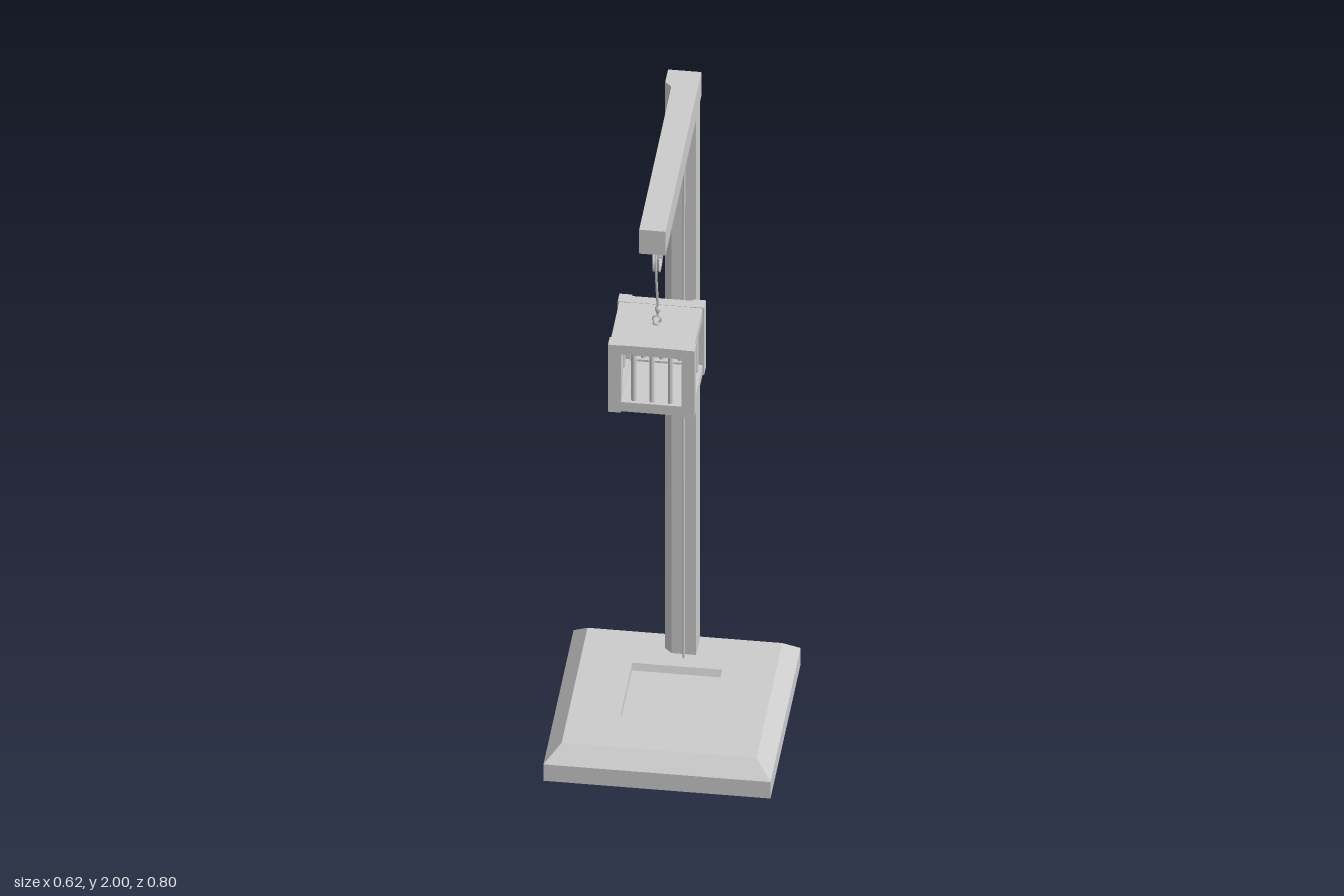
import * as THREE from 'three';

const material = new THREE.MeshStandardMaterial({ color: 0xcccccc, flatShading: true });
const smooth = new THREE.MeshStandardMaterial({ color: 0xcccccc });

function add(parent, name, geometry, x = 0, y = 0, z = 0, mat = material) {
  const mesh = new THREE.Mesh(geometry, mat);
  mesh.name = name;
  mesh.position.set(x, y, z);
  parent.add(mesh);
  return mesh;
}

// Box given by its limits on each axis
function block(parent, name, x0, x1, y0, y1, z0, z1) {
  return add(parent, name, new THREE.BoxGeometry(x1 - x0, y1 - y0, z1 - z0),
    (x0 + x1) / 2, (y0 + y1) / 2, (z0 + z1) / 2);
}

// Skin over rectangular rings [x0, x1, z0, z1, y], capped at both ends
function loftRects(rings) {
  const corners = rings.map(([x0, x1, z0, z1, y]) =>
    [[x0, y, z1], [x1, y, z1], [x1, y, z0], [x0, y, z0]]);
  const pos = [];
  const quad = (a, b, c, d) => pos.push(...a, ...b, ...c, ...a, ...c, ...d);
  for (let r = 0; r < corners.length - 1; r++) {
    for (let i = 0; i < 4; i++) {
      const j = (i + 1) % 4;
      quad(corners[r][i], corners[r][j], corners[r + 1][j], corners[r + 1][i]);
    }
  }
  quad(...corners[0].slice().reverse());
  quad(...corners[corners.length - 1]);
  const geometry = new THREE.BufferGeometry();
  geometry.setAttribute('position', new THREE.Float32BufferAttribute(pos, 3));
  geometry.computeVertexNormals();
  return geometry;
}

// Spoked pulley wheel with its hanger
function pulley(z) {
  const group = new THREE.Group();
  group.name = 'pulley';
  group.position.set(0.01, 1.838, z);
  const rimProfile = [[0.037, -0.009], [0.049, -0.009], [0.044, 0], [0.049, 0.009], [0.037, 0.009], [0.037, -0.009]]
    .map(([r, h]) => new THREE.Vector2(r, h));
  add(group, 'pulleyRim', new THREE.LatheGeometry(rimProfile, 20).rotateZ(Math.PI / 2));
  add(group, 'pulleyHub', new THREE.CylinderGeometry(0.011, 0.011, 0.024, 10).rotateZ(Math.PI / 2));
  for (let i = 0; i < 3; i++) {
    add(group, 'pulleySpoke', new THREE.BoxGeometry(0.01, 0.04, 0.009)
      .translate(0, 0.02, 0).rotateX(i * Math.PI * 2 / 3));
  }
  for (const side of [-1, 1]) {
    add(group, 'pulleyHanger', new THREE.BoxGeometry(0.003, 0.068, 0.009), side * 0.0115, 0.029, 0);
  }
  add(group, 'pulleyMount', new THREE.BoxGeometry(0.026, 0.024, 0.011), 0, 0.073, 0);
  return group;
}

// Open-sided box cage with bars
function cage() {
  const group = new THREE.Group();
  group.name = 'cage';
  group.position.set(0.0075, 1.385, 0.277);
  const h = 0.225, half = 0.118, w = 0.035, inner = half - w;
  for (const sx of [-1, 1]) {
    for (const sz of [-1, 1]) {
      add(group, 'cagePost', new THREE.BoxGeometry(w, h, w), sx * (half - w / 2), h / 2, sz * (half - w / 2));
    }
  }
  for (let k = 0; k < 4; k++) {
    const side = new THREE.Group();
    side.name = 'cageSide';
    side.rotation.y = k * Math.PI / 2;
    group.add(side);
    for (const y of [0.0175, h - 0.0175]) {
      add(side, 'cageRail', new THREE.BoxGeometry(inner * 2, 0.031, 0.029), 0, y, half - 0.0185);
    }
    for (let i = -1; i <= 1; i++) {
      add(side, 'cageBar', new THREE.CylinderGeometry(0.007, 0.007, h - 0.06, 8), i * 0.05, h / 2, half - 0.0185);
    }
  }
  // Lid and floor panels
  for (const y of [0.015, h - 0.015]) {
    add(group, 'cagePanel', new THREE.BoxGeometry(inner * 2 + 0.01, 0.024, inner * 2 + 0.01), 0, y, 0);
  }
  // Lifting eye on the lid
  add(group, 'eyePlate', new THREE.CylinderGeometry(0.01, 0.012, 0.006, 10), 0, h, 0);
  add(group, 'eyeRing', new THREE.TorusGeometry(0.011, 0.003, 6, 14), 0, h + 0.012, 0, smooth);
  return group;
}

function rope(name, points) {
  const curve = new THREE.CatmullRomCurve3(points.map(([y, z]) => new THREE.Vector3(0.01, y, z)), false, 'centripetal');
  return [name, new THREE.TubeGeometry(curve, 90, 0.0035, 6)];
}

export function createModel() {
  const model = new THREE.Group();
  model.name = 'hangingCageStand';

  // Bevelled plinth with a shallow recess
  add(model, 'base', loftRects([
    [-0.31, 0.31, -0.4, 0.22, 0],
    [-0.31, 0.31, -0.4, 0.22, 0.055],
    [-0.266, 0.266, -0.355, 0.176, 0.1],
    [-0.125, 0.121, -0.212, 0.033, 0.1],
    [-0.124, 0.118, -0.204, 0.032, 0.08],
  ]));

  // Upright with one chamfered front corner
  const section = new THREE.Shape([[-0.045, 0.348], [-0.045, 0.29], [-0.025, 0.27], [0.042, 0.27], [0.042, 0.348]]
    .map(([x, y]) => new THREE.Vector2(x, y)));
  add(model, 'post', new THREE.ExtrudeGeometry(section, { depth: 1.91, bevelEnabled: false })
    .rotateX(-Math.PI / 2), 0, 0.09, 0);

  // Overhead arm
  block(model, 'beam', -0.026, 0.046, 1.92, 2, -0.347, 0.39);

  for (const z of [0.275, -0.205]) model.add(pulley(z));
  model.add(cage());

  // Rope from the cage, over both wheels and down the post
  add(model, ...rope('rope', [
    [1.635, 0.277], [1.66, 0.277], [1.72, 0.293], [1.8, 0.313], [1.84, 0.321], [1.87, 0.308], [1.885, 0.277],
    [1.879, 0.24], [1.874, 0.12], [1.869, 0.02], [1.874, -0.09], [1.884, -0.17], [1.886, -0.21],
    [1.873, -0.238], [1.84, -0.254], [1.79, -0.261], [1.7, -0.263], [1.55, -0.259], [1.4, -0.254], [0.095, -0.254],
  ]), 0, 0, 0, smooth);
  add(model, 'ropeKnot', new THREE.SphereGeometry(0.008, 8, 6).scale(1, 1.5, 1), 0.01, 1.655, 0.277, smooth);

  return model;
}
